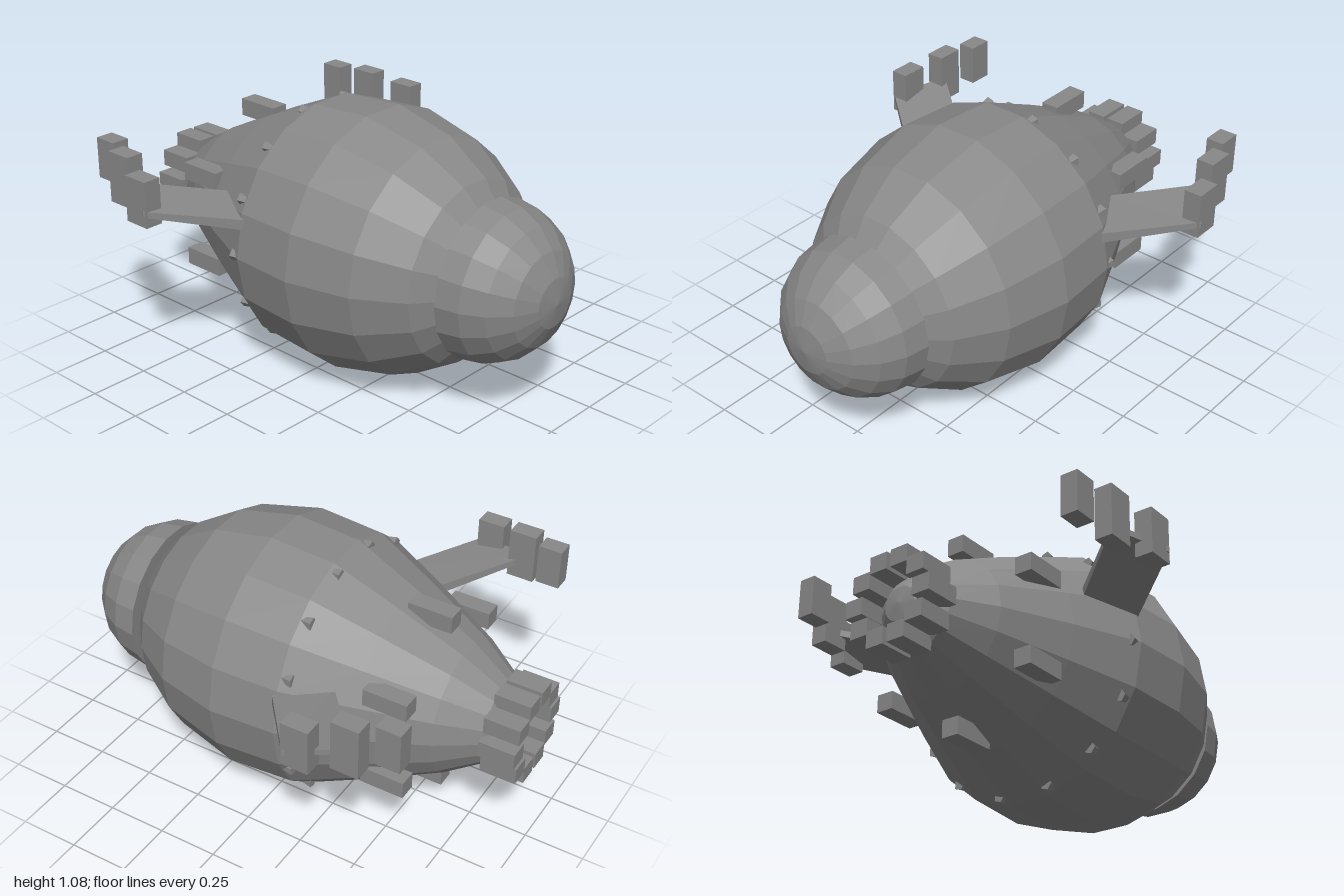
import * as THREE from 'three';

const CY = 0.548; // height of the hull axis, which runs along x

export function createModel() {
  const model = new THREE.Group();
  model.name = 'airship';
  const grey = new THREE.MeshStandardMaterial({ color: 0x888888 });
  grey.name = 'hull grey';
  grey.flatShading = true;

  const add = (name, geometry, x, y, z) => {
    const mesh = new THREE.Mesh(geometry, grey);
    mesh.name = name;
    mesh.position.set(x, y, z);
    model.add(mesh);
    return mesh;
  };

  // Turned solid around the x axis; profile points are [x, radius], tail to nose
  const turned = (name, profile, sides) => {
    const points = profile.map(([x, r]) => new THREE.Vector2(r, x));
    return add(name, new THREE.LatheGeometry(points, sides).rotateZ(-Math.PI / 2), 0, CY, 0);
  };

  // Hull
  turned('hull', [
    [-0.94, 0], [-0.93, 0.07], [-0.85, 0.175], [-0.69, 0.28], [-0.42, 0.412], [-0.15, 0.532],
    [0.13, 0.55], [0.4, 0.488], [0.59, 0.373], [0.68, 0.262], [0.75, 0],
  ], 18);

  // Domed nose cap, a half sphere with a flat back
  const dome = [[0.675, 0]];
  for (let i = 0; i <= 5; i++) {
    const a = (i / 5) * Math.PI / 2;
    dome.push([0.675 + 0.322 * Math.sin(a), i === 5 ? 0 : 0.325 * Math.cos(a)]);
  }
  turned('noseDome', dome, 18);

  // Upright boxes in rings around the axis
  const boxRing = (name, count, radius, x, size) => {
    for (let i = 0; i < count; i++) {
      const a = (i / count) * Math.PI * 2 + (count === 6 ? Math.PI / 6 : 0);
      add(name, new THREE.BoxGeometry(...size), x, CY + radius * Math.sin(a), radius * Math.cos(a));
    }
  };
  boxRing('tailThruster', 10, 0.16, -0.925, [0.15, 0.07, 0.08]);
  boxRing('hullPod', 6, 0.383, -0.537, [0.187, 0.073, 0.075]);

  // Small spikes half sunk in the hull
  for (let i = 0; i < 14; i++) {
    const a = (i / 14) * Math.PI * 2;
    const spike = new THREE.ConeGeometry(0.026, 0.13, 5).rotateZ(-Math.PI / 2);
    add('hullSpike', spike, -0.13, CY + 0.507 * Math.sin(a), 0.507 * Math.cos(a));
  }

  // Swept fins with three upright pods at each tip
  const corners = {
    leadRoot: [-0.12, 0.685, 0.49], leadTip: [-0.37, 0.757, 0.805],
    trailRoot: [-0.33, 0.715, 0.38], trailTip: [-0.59, 0.79, 0.7],
  };
  const pods = [
    [-0.73, 0.85, 0.65, 0.1, 0.17],
    [-0.587, 0.821, 0.703, 0.115, 0.213],
    [-0.417, 0.795, 0.762, 0.115, 0.19],
  ];
  for (const side of [1, -1]) {
    const fin = new THREE.BoxGeometry(1, 1, 1);
    const p = fin.attributes.position;
    for (let i = 0; i < p.count; i++) {
      const key = (p.getX(i) > 0 ? 'lead' : 'trail') + (p.getZ(i) * side > 0 ? 'Tip' : 'Root');
      const [x, y, z] = corners[key];
      const half = key.endsWith('Root') ? 0.022 : 0.012;
      p.setXYZ(i, x, y + Math.sign(p.getY(i)) * half, z * side);
    }
    fin.computeVertexNormals();
    add(side > 0 ? 'leftFin' : 'rightFin', fin, 0, 0, 0);
    for (const [x, y, z, w, h] of pods) {
      add('finPod', new THREE.BoxGeometry(w, h, 0.075), x, y, z * side);
    }
  }
  return model;
}
